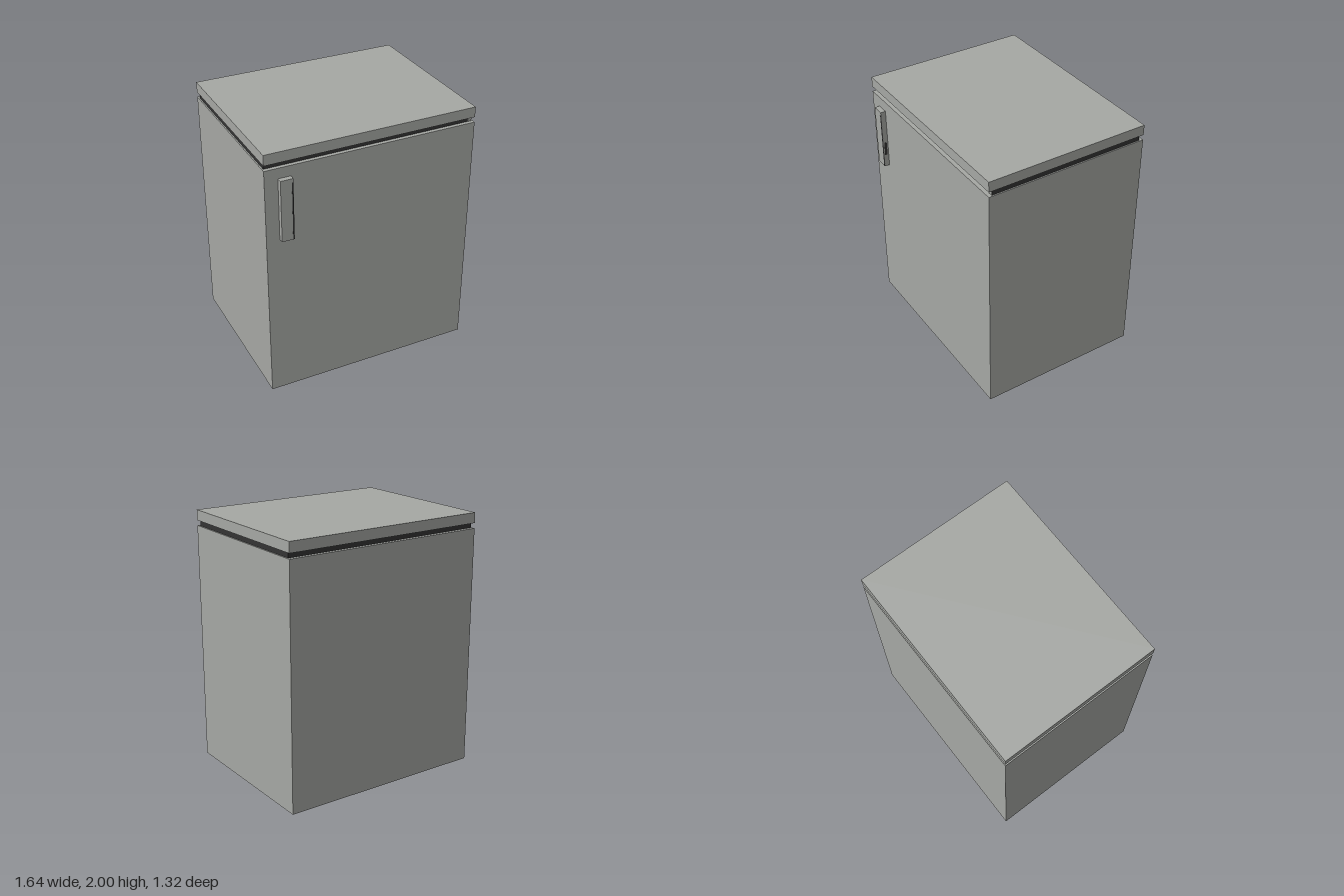
import * as THREE from 'three';

export function createModel() {
  const model = new THREE.Group();
  const grey = new THREE.MeshStandardMaterial({ color: 0xa6a8a4 });
  grey.name = 'grey enamel';
  const dark = new THREE.MeshStandardMaterial({ color: 0x343434 });
  dark.name = 'dark rubber';

  // Box given by its minimum and maximum corners
  function block(name, material, [x0, y0, z0], [x1, y1, z1]) {
    const mesh = new THREE.Mesh(new THREE.BoxGeometry(x1 - x0, y1 - y0, z1 - z0), material);
    mesh.position.set((x0 + x1) / 2, (y0 + y1) / 2, (z0 + z1) / 2);
    mesh.name = name;
    model.add(mesh);
  }

  // Cabinet, recessed seal and worktop
  block('cabinet', grey, [-0.82, 0, -0.66], [0.82, 1.88, 0.62]);
  block('seal', dark, [-0.81, 1.88, -0.63], [0.81, 1.92, 0.59]);
  block('sealEnd', grey, [0.78, 1.88, 0.588], [0.808, 1.92, 0.592]);
  block('worktop', grey, [-0.82, 1.92, -0.66], [0.82, 2, 0.62]);

  // Door handle with its shadow-gap inlays
  block('handle', grey, [-0.72, 1.32, 0.62], [-0.625, 1.8, 0.66]);
  block('handleFrontInlay', dark, [-0.636, 1.32, 0.658], [-0.626, 1.77, 0.661]);
  block('handleSideInlay', dark, [-0.627, 1.42, 0.63], [-0.624, 1.53, 0.65]);

  return model;
}
